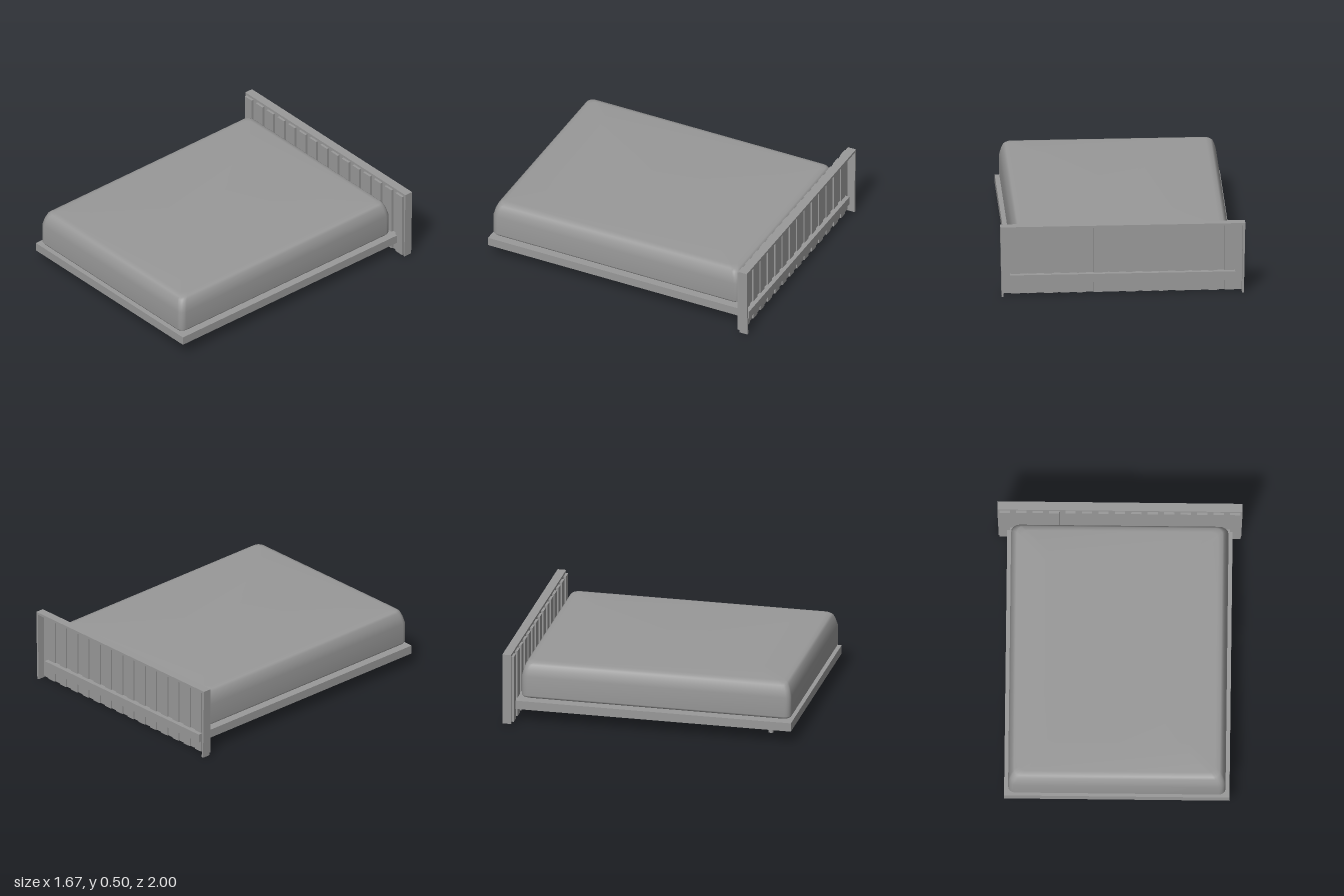
import * as THREE from 'three';

const material = new THREE.MeshStandardMaterial({ color: 0x999999 });

// Box given by its limits on each axis
function box(parent, name, [x0, x1], [y0, y1], [z0, z1]) {
  const mesh = new THREE.Mesh(new THREE.BoxGeometry(x1 - x0, y1 - y0, z1 - z0), material);
  mesh.position.set((x0 + x1) / 2, (y0 + y1) / 2, (z0 + z1) / 2);
  mesh.name = name;
  parent.add(mesh);
}

// Rounded-rectangle outline in plan, shrunk by an inset
function outline(halfX, z0, z1, radius, inset, steps = 4) {
  const points = [];
  const hx = halfX - inset - radius;
  const hz = (z1 - z0) / 2 - inset - radius;
  const cz = (z0 + z1) / 2;
  const corners = [[1, 1], [-1, 1], [-1, -1], [1, -1]];
  corners.forEach(([sx, sz], c) => {
    for (let i = 0; i <= steps; i++) {
      const a = (c + i / steps) * Math.PI / 2;
      points.push([sx * hx + radius * Math.cos(a), cz + sz * hz + radius * Math.sin(a)]);
    }
  });
  return points;
}

// Soft mattress lofted from stacked outlines
function mattressGeometry() {
  const levels = [ // height, inset
    [0.157, 0.06], [0.161, 0.022], [0.168, 0.008], [0.182, 0], [0.32, 0.001],
    [0.365, 0.012], [0.4, 0.026], [0.412, 0.04], [0.42, 0.072], [0.4215, 0.28],
  ];
  const positions = [];
  const index = [];
  let n = 0;
  for (const [y, inset] of levels) {
    const ring = outline(0.74, -0.895, 0.99, 0.045, inset);
    n = ring.length;
    for (const [x, z] of ring) positions.push(x, y, z);
  }
  const last = (levels.length - 1) * n;
  const bottom = positions.length / 3;
  positions.push(0, 0.157, 0.0475, 0, 0.4215, 0.0475);
  for (let j = 0; j < n; j++) {
    const k = (j + 1) % n;
    for (let i = 0; i < levels.length - 1; i++) {
      const a = i * n + j, b = i * n + k;
      index.push(a, a + n, b, b, a + n, b + n);
    }
    index.push(bottom, j, k, bottom + 1, last + k, last + j);
  }
  const geometry = new THREE.BufferGeometry();
  geometry.setAttribute('position', new THREE.Float32BufferAttribute(positions, 3));
  geometry.setIndex(index);
  geometry.computeVertexNormals();
  return geometry;
}

// Tapered surround of the headboard, open at the bottom
function surroundGeometry() {
  const shape = new THREE.Shape([
    [-0.825, 0], [-0.835, 0.505], [0.835, 0.505], [0.825, 0],
    [0.812, 0], [0.82, 0.488], [-0.82, 0.488], [-0.812, 0],
  ].map(([x, y]) => new THREE.Vector2(x, y)));
  return new THREE.ExtrudeGeometry(shape, { depth: 0.06, bevelEnabled: false });
}

export function createModel() {
  const bed = new THREE.Group();
  bed.name = 'bed';

  // Platform: a thin deck inside deep rails that run through the headboard
  const platform = new THREE.Group();
  platform.name = 'platform';
  bed.add(platform);
  const w = 0.767, rim = 0.015;
  box(platform, 'deck', [-w + rim, w - rim], [0.14, 0.15], [-0.94, 1 - rim]);
  box(platform, 'footRail', [-w, w], [0.09, 0.15], [1 - rim, 1]);
  box(platform, 'headRail', [-w, w], [0.09, 0.15], [-0.985, -0.94]);
  for (const s of [-1, 1]) {
    const x = s * (w - rim / 2);
    box(platform, 'sideRail', [x - rim / 2, x + rim / 2], [0.09, 0.15], [-0.94, 1 - rim]);

    // Round legs near the foot
    const leg = new THREE.Mesh(new THREE.CylinderGeometry(0.018, 0.018, 0.14, 16), material);
    leg.name = 'leg';
    leg.position.set(s * 0.572, 0.07, 0.817);
    bed.add(leg);
  }

  // Mattress
  const mattress = new THREE.Mesh(mattressGeometry(), material);
  mattress.name = 'mattress';
  bed.add(mattress);

  // Headboard: surround and panel with staggered slats on both faces
  const headboard = new THREE.Group();
  headboard.name = 'headboard';
  bed.add(headboard);
  const surround = new THREE.Mesh(surroundGeometry(), material);
  surround.name = 'surround';
  surround.position.z = -1;
  headboard.add(surround);
  box(headboard, 'panel', [-0.814, 0.814], [0.008, 0.488], [-0.947, -0.941]);
  const count = 15, pitch = 0.112;
  for (let i = 0; i < count; i++) {
    const x = (i - (count - 1) / 2) * pitch;
    box(headboard, 'frontSlat', [x - 0.035, x + 0.035], [0.015, 0.488], [-0.941, -0.923]);
    if (i < count - 1) {
      const b = x + pitch / 2;
      box(headboard, 'backSlat', [b - 0.031, b + 0.031], [0.008, 0.488], [-0.956, -0.947]);
    }
  }
  return bed;
}
